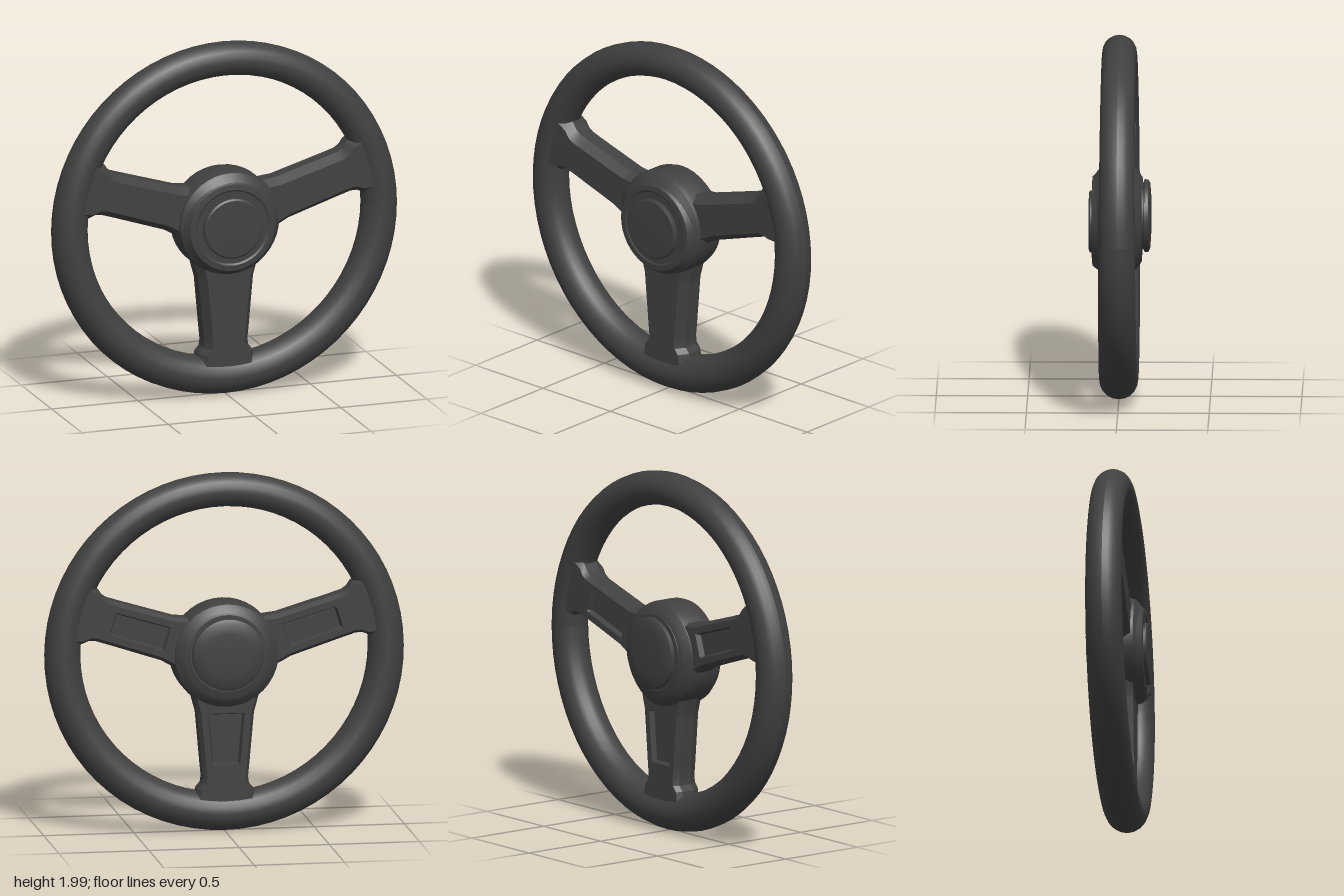
import * as THREE from 'three';
import { toCreasedNormals } from 'three/addons/utils/BufferGeometryUtils.js';

const charcoal = new THREE.MeshStandardMaterial({ color: 0x404040 });
charcoal.name = 'charcoal';

function addMesh(parent, geometry, name) {
  const mesh = new THREE.Mesh(geometry, charcoal);
  mesh.name = name;
  parent.add(mesh);
  return mesh;
}

// Round grip, slightly thicker at the bottom than at the top
function rimGeometry() {
  const radius = 0.897;
  const geometry = new THREE.TorusGeometry(radius, 0.1, 20, 72);
  const p = geometry.attributes.position;
  for (let i = 0; i < p.count; i++) {
    const x = p.getX(i), y = p.getY(i), r = Math.hypot(x, y);
    const k = 1 - 0.06 * (y / r);
    const s = (radius + (r - radius) * k) / r;
    p.setXYZ(i, x * s, y * s, p.getZ(i) * k);
  }
  geometry.computeVertexNormals();
  return geometry;
}

// Turned part around the z axis; profile is [radius, z] from back to front
function turned(profile, segments = 40) {
  const geometry = new THREE.LatheGeometry(profile.map(([r, z]) => new THREE.Vector2(r, z)), segments);
  geometry.rotateX(Math.PI / 2);
  return toCreasedNormals(geometry, 0.5);
}

// Spoke along +x, lofted through stations [distance, half width, panel depth]
function spokeGeometry(stations) {
  const front = 0.085, back = -0.08;
  const section = ([, w, depth]) => {
    const half = [[w - 0.035, front], [w, 0.03], [w, -0.05], [w - 0.02, back],
      [w - 0.055, back], [w - 0.065, back + depth]];
    return [...half.map(([u, z]) => [-u, z]), ...half.reverse()];
  };
  const positions = [], index = [];
  stations.forEach((station) => section(station).forEach(([u, z]) => positions.push(station[0], u, z)));
  const n = 12;
  for (let i = 0; i < stations.length - 1; i++) {
    for (let j = 0; j < n; j++) {
      const a = i * n + j, b = i * n + (j + 1) % n;
      index.push(a, b, b + n, a, b + n, a + n);
    }
  }
  const geometry = new THREE.BufferGeometry();
  geometry.setAttribute('position', new THREE.Float32BufferAttribute(positions, 3));
  geometry.setIndex(index);
  return toCreasedNormals(geometry, 0.45);
}

export function createModel() {
  const model = new THREE.Group();
  model.name = 'steeringWheel';

  addMesh(model, rimGeometry(), 'rim').position.y = 0.998;

  // Three spokes with a sunken panel on the back and flared outer ends
  const sideStations = [[0.2, 0.15, 0], [0.29, 0.134, 0], [0.34, 0.124, 0], [0.35, 0.124, 0.03],
    [0.65, 0.12, 0.03], [0.66, 0.12, 0], [0.72, 0.12, 0], [0.755, 0.13, 0], [0.785, 0.155, 0], [0.85, 0.17, 0]];
  const lowerStations = [[0.2, 0.19, 0], [0.27, 0.172, 0], [0.32, 0.158, 0], [0.33, 0.157, 0.03],
    [0.6, 0.133, 0.03], [0.61, 0.132, 0], [0.68, 0.125, 0], [0.715, 0.13, 0], [0.745, 0.155, 0], [0.83, 0.17, 0]];
  const tilt = 0.305;
  [['leftSpoke', tilt, sideStations], ['rightSpoke', Math.PI - tilt, sideStations],
    ['lowerSpoke', -Math.PI / 2, lowerStations]].forEach(([name, angle, stations]) => {
    const spoke = addMesh(model, spokeGeometry(stations), name);
    spoke.position.y = 0.98;
    spoke.rotation.z = angle;
  });

  // Hub body with sloped shoulders
  addMesh(model, turned([[0, -0.125], [0.23, -0.125], [0.25, -0.115], [0.285, -0.085],
    [0.295, -0.05], [0.295, 0.07], [0.285, 0.1], [0.24, 0.135], [0, 0.135]]), 'hub').position.y = 0.983;

  // Front ring and centre button
  addMesh(model, turned([[0.27, 0.08], [0.272, 0.11], [0.245, 0.145], [0.215, 0.148],
    [0.205, 0.142], [0, 0.142]]), 'frontRing').position.y = 0.97;
  addMesh(model, turned([[0.17, 0.13], [0.17, 0.158], [0.16, 0.165], [0, 0.167]]), 'frontButton').position.y = 0.967;

  // Rear mounting cap
  addMesh(model, turned([[0, -0.177], [0.12, -0.175], [0.18, -0.17], [0.198, -0.16], [0.2, -0.14],
    [0.185, -0.135], [0.185, -0.128], [0.215, -0.128], [0.22, -0.115]]), 'rearCap').position.y = 1.0;

  return model;
}
